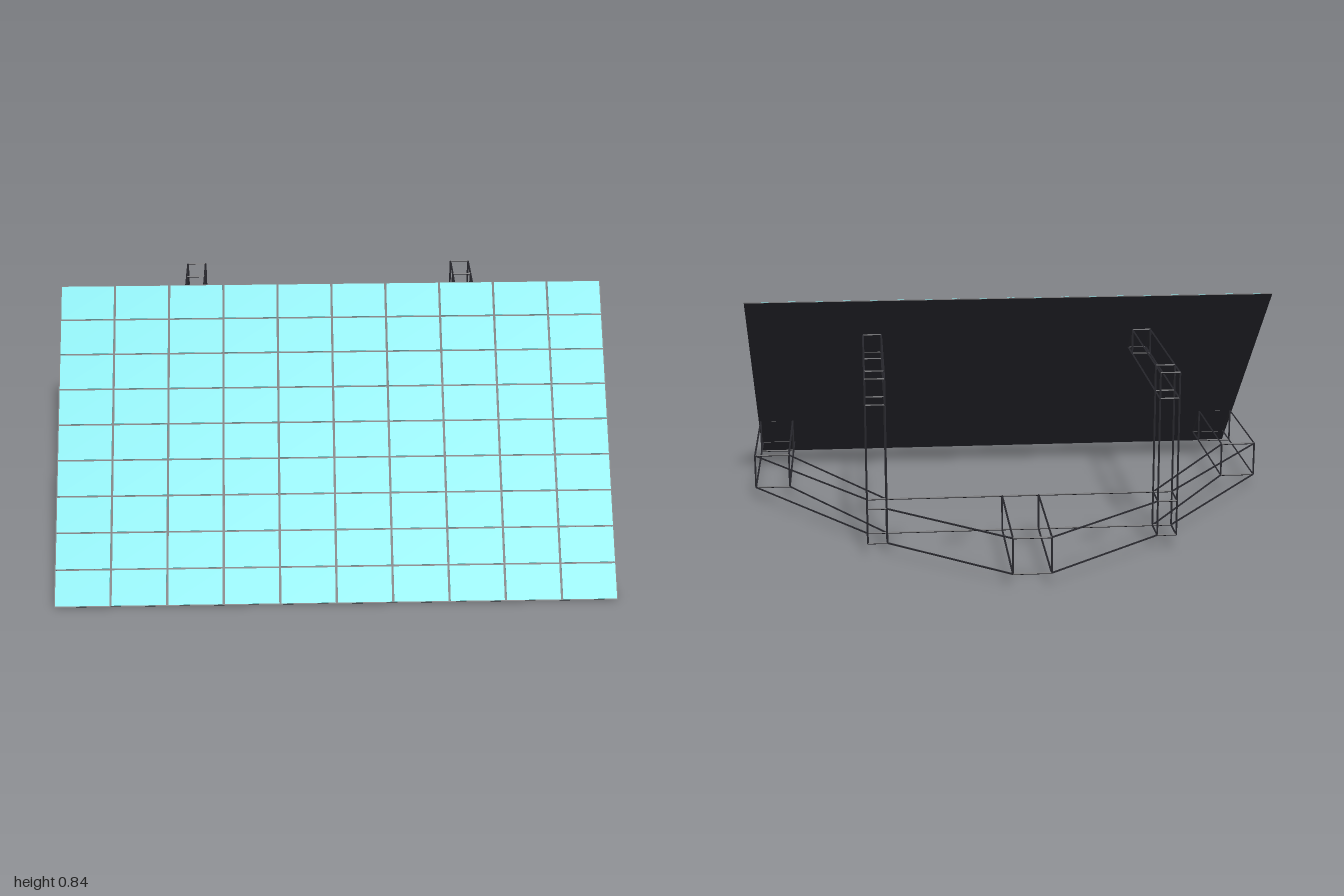
import * as THREE from 'three';
import { mergeGeometries } from 'three/addons/utils/BufferGeometryUtils.js';

const dark = new THREE.MeshStandardMaterial({ color: 0x2a2a30, flatShading: true });
const cyan = new THREE.MeshStandardMaterial({ color: 0x5fd6da, flatShading: true });
const WIRE = 0.0035;

// Thin square rod between two points
function rod(a, b) {
  const dir = b.clone().sub(a);
  const g = new THREE.CylinderGeometry(WIRE, WIRE, dir.length(), 4, 1);
  g.applyQuaternion(new THREE.Quaternion().setFromUnitVectors(new THREE.Vector3(0, 1, 0), dir.normalize()));
  const mid = a.clone().add(b).multiplyScalar(0.5);
  return g.translate(mid.x, mid.y, mid.z);
}

// Open cage: four-cornered sections, outlined and joined corner to corner
function cage(name, sections) {
  const rods = [];
  const add = (a, b) => { if (a.distanceTo(b) > 0.001) rods.push(rod(a, b)); };
  sections.forEach((s, i) => {
    s.forEach((p, k) => {
      add(p, s[(k + 1) % 4]);
      if (i > 0) add(sections[i - 1][k], p);
    });
  });
  const mesh = new THREE.Mesh(mergeGeometries(rods), dark);
  mesh.name = name;
  return mesh;
}

const v = (x, y, z) => new THREE.Vector3(x, y, z);

// Section across z, with separate z for its bottom and top edges
const acrossZ = (s, x0, x1, y0, y1, zBottom, zTop = zBottom) => [
  v(s * x0, y0, zBottom), v(s * x1, y0, zBottom), v(s * x1, y1, zTop), v(s * x0, y1, zTop)];
// Section across x
const acrossX = (x, y0, y1, z0, z1) => [v(x, y0, z0), v(x, y0, z1), v(x, y1, z1), v(x, y1, z0)];
// Level section
const level = (s, y, x0, x1, z0, z1) => [v(s * x0, y, z0), v(s * x1, y, z0), v(s * x1, y, z1), v(s * x0, y, z1)];

function createPanel() {
  const panel = new THREE.Group();
  panel.name = 'panel';
  const rise = 0.835, run = 0.848, length = Math.hypot(rise, run);
  const backing = new THREE.Mesh(new THREE.BoxGeometry(2, length, 0.004), dark);
  backing.name = 'panelBacking';
  panel.add(backing);

  // Grid of cells with narrow dark gaps
  const cols = 10, rows = 9, w = 2 / cols, h = length / rows;
  const cells = [];
  for (let c = 0; c < cols; c++) {
    for (let r = 0; r < rows; r++) {
      cells.push(new THREE.BoxGeometry(w - 0.008, h - 0.006, 0.003)
        .translate(-1 + (c + 0.5) * w, -length / 2 + (r + 0.5) * h, 0.003));
    }
  }
  const cellMesh = new THREE.Mesh(mergeGeometries(cells), cyan);
  cellMesh.name = 'panelCells';
  panel.add(cellMesh);

  panel.rotation.x = -Math.atan2(run, rise);
  panel.position.set(0, 0.4225, 0.429);
  return panel;
}

export function createModel() {
  const model = new THREE.Group();
  model.name = 'tiltedPanelOnFrame';
  model.add(createPanel());

  const inX = 0.49, outX = 0.56;     // posts and upper arms
  const y0 = 0.06, y1 = 0.19;        // base
  const y2 = 0.575, y3 = 0.67;       // upper arms
  const front = -0.393, back = -0.502;

  for (const s of [1, -1]) {
    const side = s > 0 ? 'left' : 'right';
    model.add(cage(side + 'Post', [y0, y1, y2].map(y => level(s, y, inX, outX, back, front))));
    // Upper arm, cut to the slope of the panel
    model.add(cage(side + 'UpperArm', [
      acrossZ(s, inX, outX, y2, y3, back),
      acrossZ(s, inX, outX, y2, y3, front),
      acrossZ(s, inX, outX, y2, y3, 0.165),
      acrossZ(s, inX, outX, y2, y3, 0.27, 0.165)]));
    // Splayed foot, bent forward to meet the panel
    model.add(cage(side + 'Foot', [
      acrossZ(s, inX, outX, y0, y1, front),
      acrossZ(s, 0.86, 0.992, y0, y1, 0.18),
      acrossZ(s, 0.86, 0.992, y0, y1, 0.665),
      acrossZ(s, 0.86, 0.992, y0, y1, 0.795, 0.665)]));
  }

  // Rear base, wide in the middle and tapering to the posts
  model.add(cage('rearBase', [
    [-inX, back], [-0.067, -0.85], [0.067, -0.85], [inX, back],
  ].map(([x, z]) => acrossX(x, y0, y1, z, front))));

  return model;
}
